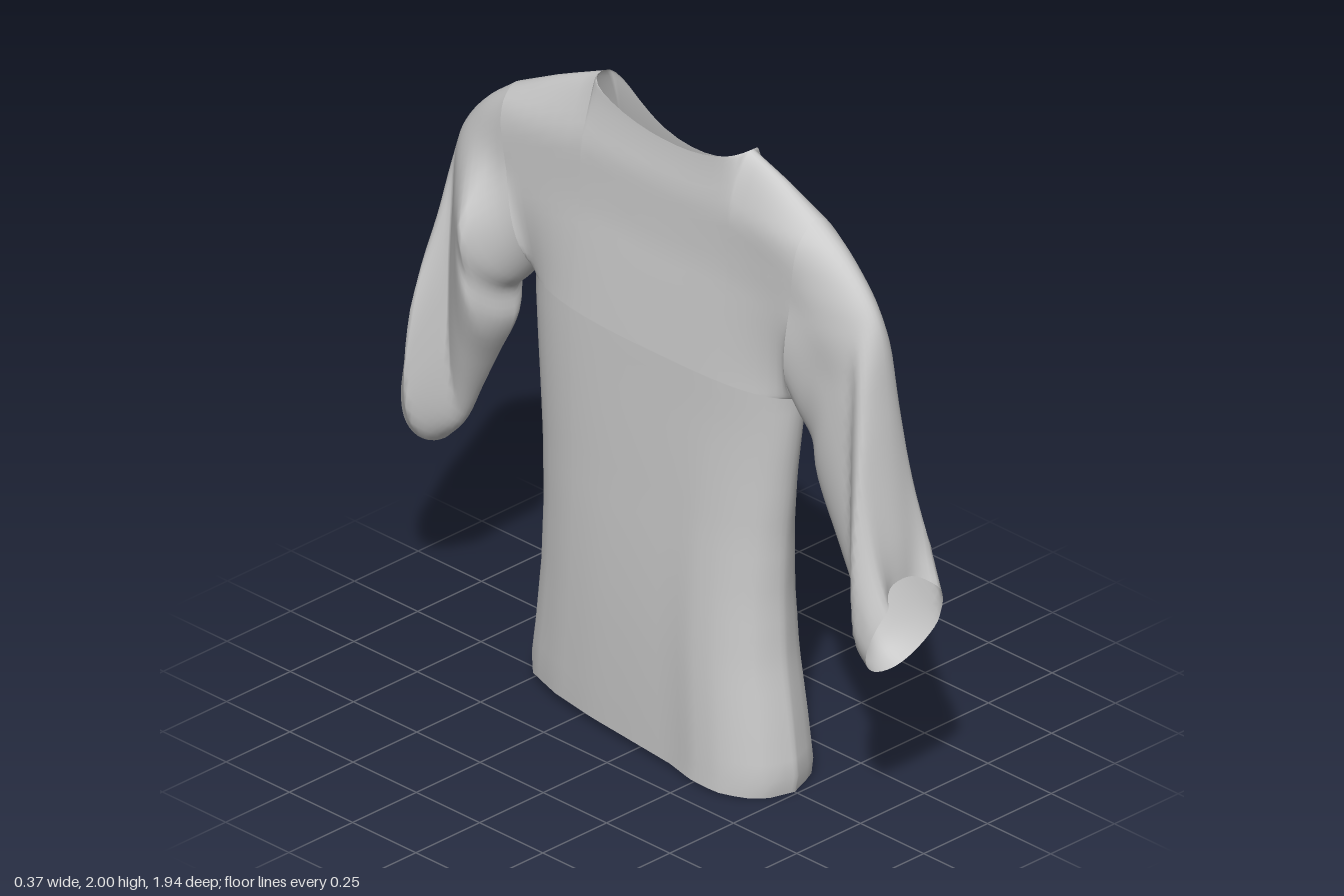
import * as THREE from 'three';
import { mergeVertices } from 'three/addons/utils/BufferGeometryUtils.js';

const ROWS = 24, NECK = 0.57;
const { lerp, clamp, smoothstep } = THREE.MathUtils;

// linear lookup in a table of [key, value] pairs
function look(table, k) {
  let i = 1;
  while (i < table.length - 1 && k > table[i][0]) i++;
  const [a, b] = [table[i - 1], table[i]];
  return lerp(a[1], b[1], clamp((k - a[0]) / (b[0] - a[0]), 0, 1));
}

// half depth of the cloth by height, and the two side outlines of the torso
const DEPTH = [[0, 0.15], [0.4, 0.138], [0.8, 0.122], [1.27, 0.112], [1.45, 0.096], [1.6, 0.083], [1.7, 0.084], [1.8, 0.092], [1.9, 0.075], [2, 0.052]];
const SIDE_FRONT = [[0, 0.49], [0.05, 0.502], [0.2, 0.485], [0.4, 0.457], [0.6, 0.45], [0.8, 0.46], [1, 0.485], [1.15, 0.51], [1.27, 0.53]];
const SIDE_BACK = [[0, 0.55], [0.07, 0.557], [0.2, 0.53], [0.4, 0.497], [0.6, 0.48], [0.8, 0.478], [1, 0.485], [1.15, 0.492], [1.27, 0.5]];
// wavy line of the hem across the body, [u, x], on the left and right panels
const HEM = {
  left: [[-1, 0.07], [-0.97, 0.115], [-0.88, 0.158], [-0.7, 0.178], [-0.5, 0.155], [-0.25, 0.11], [0, 0.09], [0.25, 0.125], [0.45, 0.16], [0.65, 0.178], [0.8, 0.15], [0.93, 0.1], [1, 0]],
  right: [[-1, 0.07], [-0.97, 0], [-0.88, -0.06], [-0.65, -0.1], [-0.35, -0.125], [0, -0.14], [0.3, -0.15], [0.5, -0.17], [0.7, -0.168], [0.85, -0.135], [0.95, -0.085], [1, 0]],
};
// shoulder lines from the neck edge to the armhole: [u, z] and [u, y]
const SHOULDER = {
  front: { z: [[NECK, 0.33], [0.78, 0.45], [1, 0.59]], y: [[NECK, 1.975], [0.78, 1.93], [1, 1.857]] },
  back: { z: [[NECK, 0.26], [0.78, 0.43], [1, 0.6]], y: [[NECK, 2], [0.78, 1.923], [1, 1.835]] },
};

// rounded fullness from an edge value to 1
const round = (edge, t, reach = 0.45) => edge + (1 - edge) * Math.sqrt(1 - (1 - Math.min(1, t / reach)) ** 2);
const rowT = (i) => (1 - Math.cos((Math.PI * i) / ROWS)) / 2;

// two facing panels joined into one smooth surface; point(column, row, side) gives [x, y, z]
function panels(name, columns, rows, point, material) {
  const pos = [], index = [];
  for (const side of [1, -1]) {
    const start = pos.length / 3;
    for (let c = 0; c < columns; c++)
      for (let r = 0; r < rows; r++) pos.push(...point(c, r, side));
    for (let c = 0; c < columns - 1; c++)
      for (let r = 0; r < rows - 1; r++) {
        const a = start + c * rows + r, b = a + 1, d = a + rows, e = d + 1;
        if (side > 0) index.push(a, b, e, a, e, d);
        else index.push(a, e, b, a, d, e);
      }
  }
  let geo = new THREE.BufferGeometry();
  geo.setAttribute('position', new THREE.Float32BufferAttribute(pos, 3));
  geo.setIndex(index);
  geo = mergeVertices(geo, 1e-4);
  geo.computeVertexNormals();
  const mesh = new THREE.Mesh(geo, material);
  mesh.name = name;
  return mesh;
}

// top edge of the body at u: neckline in the middle, shoulders outside
function topEdge(u, side) {
  const a = Math.abs(u);
  if (a < NECK) {
    const k = u / NECK, dip = 1 - Math.abs(k) ** 2.2;
    return { z: 0.035 + 0.295 * k, y: lerp(2, 1.975, (k + 1) / 2) - (side > 0 ? 0.137 : 0.07) * dip };
  }
  const s = u > 0 ? SHOULDER.front : SHOULDER.back;
  return { z: Math.sign(u) * look(s.z, a), y: look(s.y, a) };
}

// a point of the body: lower rows are the torso, upper rows the chest and shoulders
function bodyPoint(u, r, side) {
  const sideFull = Math.sqrt(Math.max(0, 1 - u ** 4));
  const armpit = 1.27 + (u < 0 ? 0.03 * u * u : 0);
  const outline = u > 0 ? SIDE_FRONT : SIDE_BACK;
  if (r < ROWS) {
    const hem = 0.015 * (1 - u) + (side > 0 ? 0.03 : 0.005) * (1 - u * u);
    const y = lerp(hem, armpit, r / ROWS);
    const x = side * look(DEPTH, y) * sideFull - 0.01;
    const drape = Math.max(0, 1 - y / 1.15) ** 1.2;
    return [lerp(x, look(side > 0 ? HEM.left : HEM.right, u), drape), y, u * look(outline, y)];
  }
  const t = rowT(r - ROWS), top = topEdge(u, side);
  const y = lerp(armpit, top.y, t);
  const z = lerp(u * look(outline, 1.27), top.z, t);
  const inward = 1 - smoothstep(Math.abs(u), 0.5, 1);
  const depth = lerp(look(DEPTH, y), 0.056, t ** 3 * inward);
  const neckFull = Math.sqrt(Math.max(0, 1 - Math.abs(u / NECK) ** 12));
  // soft over the chest, fully rounded at the armhole
  const chest = lerp(lerp(sideFull, 1, smoothstep(t, 0, 0.6)), round(sideFull, t), Math.abs(u) ** 20);
  return [side * depth * chest * round(neckFull, 1 - t, 0.3) - 0.01, y, z];
}

// sleeve lines from armhole to cuff, [z, y]: outer over the shoulder, inner from the armpit;
// fullness of the left and right panels across the sleeve, [distance from centre, depth];
// bulge rounds the cuff edge outward, notch draws its outer ridge inward
const SLEEVES = {
  frontSleeve: {
    outer: [[0.59, 1.857], [0.7, 1.778], [0.795, 1.68], [0.843, 1.59], [0.875, 1.38], [0.91, 1.14], [0.95, 0.96], [0.985, 0.845]],
    inner: [[0.53, 1.27], [0.555, 1.21], [0.595, 1.15], [0.61, 1.05], [0.69, 0.88], [0.76, 0.74], [0.825, 0.6], [0.885, 0.548]],
    left: [[0.53, 0.13], [0.58, 0.158], [0.68, 0.11], [0.79, 0.068], [0.86, 0.1], [0.92, 0.14], [0.97, 0.13]],
    right: [[0.53, 0.08], [0.65, 0.075], [0.79, 0.068], [0.87, 0.15], [0.93, 0.145], [0.97, 0.13]],
    bulge: 0.005, notch: 0.06,
  },
  backSleeve: {
    outer: [[-0.6, 1.835], [-0.71, 1.747], [-0.79, 1.645], [-0.825, 1.54], [-0.86, 1.36], [-0.895, 1.2], [-0.935, 1.04], [-0.968, 0.91]],
    inner: [[-0.5, 1.3], [-0.56, 1.23], [-0.605, 1.18], [-0.61, 1.08], [-0.685, 0.93], [-0.75, 0.8], [-0.815, 0.67], [-0.88, 0.6]],
    left: [[0.5, 0.09], [0.65, 0.08], [0.75, 0.08], [0.83, 0.085], [0.93, 0.1], [0.97, 0.09]],
    right: [[0.5, 0.1], [0.57, 0.145], [0.64, 0.19], [0.72, 0.125], [0.8, 0.065], [0.87, 0.16], [0.93, 0.1], [0.97, 0.05]],
    bulge: 0.025, notch: 0,
  },
};

export function createModel() {
  const group = new THREE.Group();
  group.name = 'shirt';
  const cloth = new THREE.MeshStandardMaterial({ color: 0xcccccc, side: THREE.DoubleSide });

  // body, with columns denser toward the side seams and the neck corners
  const half = [0.1, 0.2, 0.3, 0.39, 0.46, 0.51, 0.545, 0.562, NECK, 0.64, 0.72, 0.8, 0.87, 0.92, 0.955, 0.98, 0.994, 1];
  const us = [...half.map((u) => -u).reverse(), 0, ...half];
  group.add(panels('body', us.length, ROWS * 2 + 1, (c, r, side) => bodyPoint(us[c], r, side), cloth));

  // sleeves, open at the cuff
  const stations = 33;
  for (const [name, { outer, inner, left, right, bulge, notch }] of Object.entries(SLEEVES)) {
    const curve = (pts) => new THREE.CatmullRomCurve3(pts.map(([z, y]) => new THREE.Vector3(0, y, z)));
    const top = curve(outer), bottom = curve(inner), dir = Math.sign(outer[0][0]);
    const point = (c, r, side) => {
      const s = (dir > 0 ? c : stations - 1 - c) / (stations - 1), t = rowT(r);
      const p = bottom.getPoint(s).lerp(top.getPoint(s), t);
      // plain over the shoulder, folded and pinched lower down
      const folds = (1 - smoothstep(p.y, 1.4, 1.68)) * Math.min(1, s * 5);
      const depth = lerp(look(DEPTH, p.y), look(side > 0 ? left : right, Math.abs(p.z)), folds);
      const reach = lerp(0.3, 0.45, Math.min(1, s * 3));
      p.z += dir * s ** 4 * (bulge * 4 * t * (1 - t) - notch * smoothstep(t, 0.82, 1));
      return [side * depth * round(0, t) * round(0, 1 - t, reach) - 0.01, p.y, p.z];
    };
    group.add(panels(name, stations, ROWS + 1, point, cloth));
  }
  return group;
}
